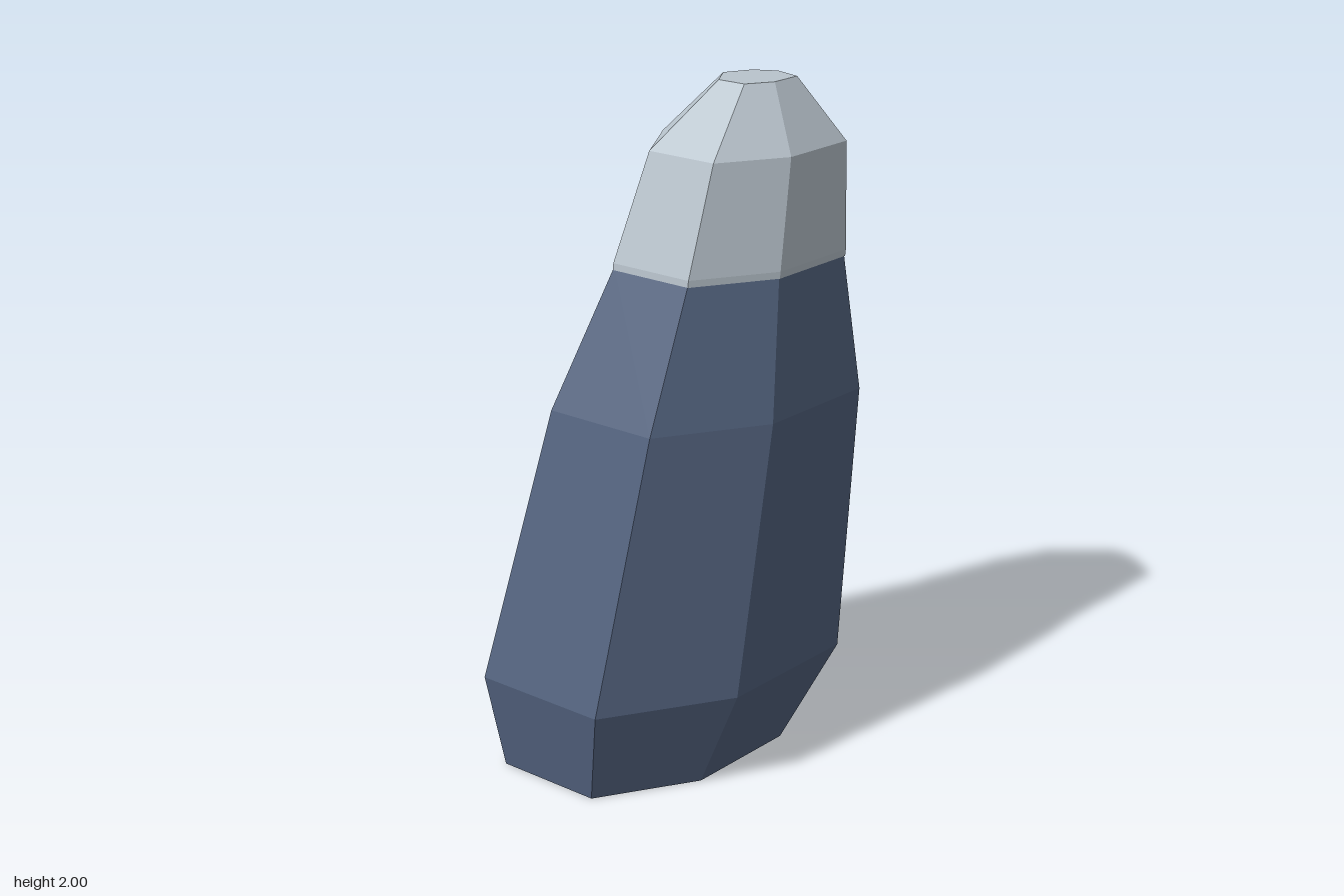
import * as THREE from 'three';

// Seven-sided cross-section: x measured from its left corner, z from the centre line
const SECTION = [
  [0, -0.07], [0.24, -0.345], [0.595, -0.28], [0.815, -0.085],
  [0.85, 0.245], [0.48, 0.343], [0.13, 0.255],
];

// Joins scaled copies of the section; each level is [y, x of left corner, scale]
function loft(levels, material, name) {
  const rings = levels.map(([y, x, s]) => SECTION.map(([px, pz]) => [x + px * s, y, pz * s]));
  const pos = [];
  const n = SECTION.length;
  const tri = (a, b, c) => pos.push(...a, ...b, ...c);
  for (let k = 0; k < rings.length - 1; k++) {
    const lo = rings[k], hi = rings[k + 1];
    for (let i = 0; i < n; i++) {
      const j = (i + 1) % n;
      tri(lo[i], hi[i], hi[j]);
      tri(lo[i], hi[j], lo[j]);
    }
  }
  // End faces
  const bottom = rings[0], top = rings[rings.length - 1];
  for (let i = 1; i < n - 1; i++) {
    tri(bottom[0], bottom[i], bottom[i + 1]);
    tri(top[0], top[i + 1], top[i]);
  }
  const geometry = new THREE.BufferGeometry();
  geometry.setAttribute('position', new THREE.Float32BufferAttribute(pos, 3));
  geometry.computeVertexNormals();
  const mesh = new THREE.Mesh(geometry, material);
  mesh.name = name;
  return mesh;
}

export function createModel() {
  const rock = new THREE.MeshStandardMaterial({ color: 0x53637f, flatShading: true });
  rock.name = 'slate blue rock';
  const snow = new THREE.MeshStandardMaterial({ color: 0xb9c4cd, flatShading: true });
  snow.name = 'pale grey snow';

  const group = new THREE.Group();
  group.name = 'leaningRock';
  // Leaning rock column
  group.add(loft([
    [0, -0.49, 0.93], [0.3, -0.543, 1.18], [1.1, -0.31, 1], [1.5, -0.11, 0.735],
  ], rock, 'rockColumn'));
  // Snow cap with a shallow lip around its lower edge
  group.add(loft([
    [1.49, -0.115, 0.745], [1.51, -0.113, 0.745], [1.82, 0, 0.625], [2, 0.21, 0.248],
  ], snow, 'snowCap'));
  return group;
}
